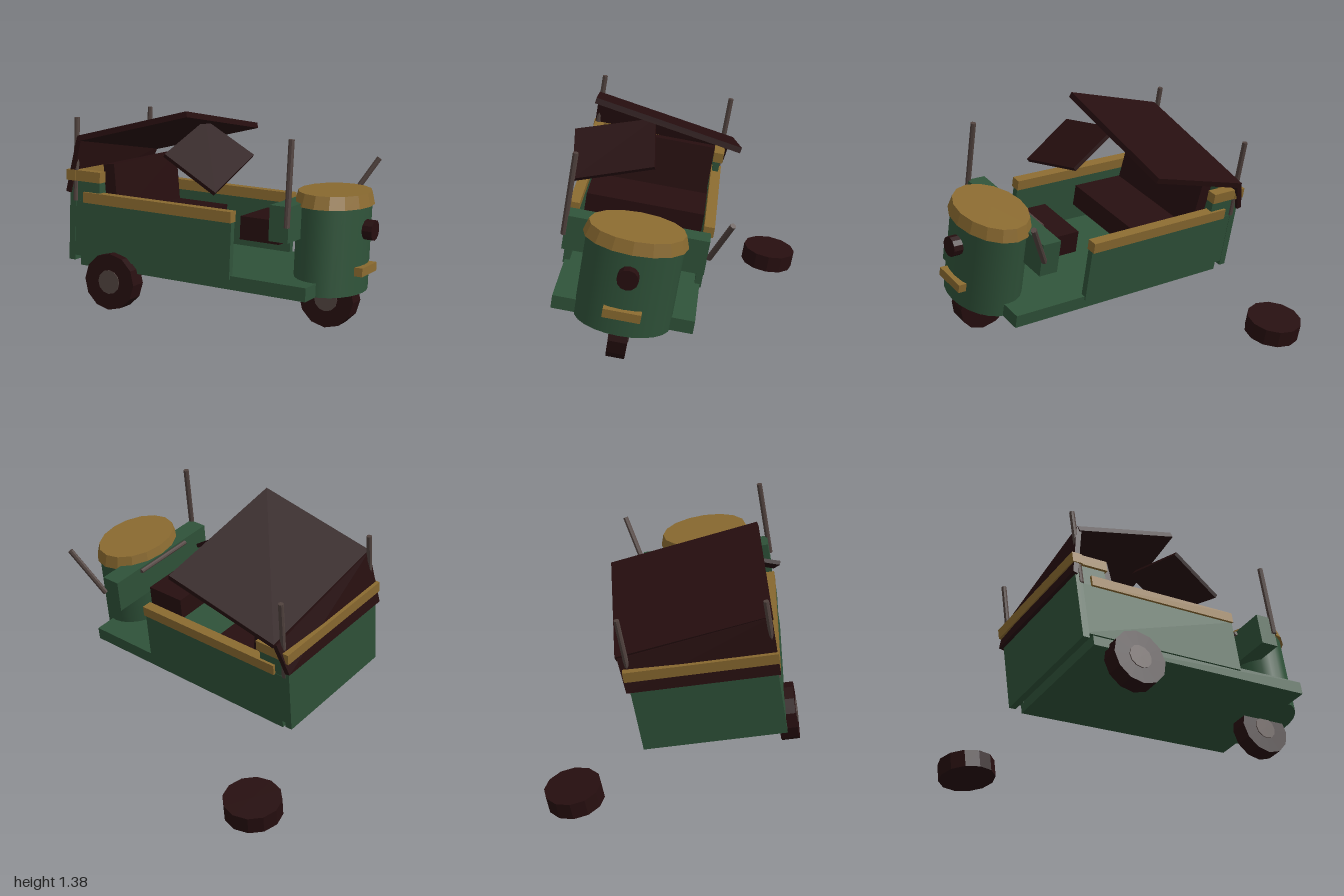
import * as THREE from 'three';

const mat = (name, color, flat = true) => {
  const m = new THREE.MeshStandardMaterial({ color, flatShading: flat });
  m.name = name;
  return m;
};

export function createModel() {
  const green = mat('green paint', 0x2f5239);
  const greenSmooth = green.clone();
  greenSmooth.flatShading = false;
  const yellow = mat('yellow trim', 0x8a6a30);
  const dark = mat('dark canvas and rubber', 0x260e0f);
  const grey = mat('worn metal', 0x50423e);

  const root = new THREE.Group();
  root.name = 'wreckedRickshaw';
  // The body lies tilted; parts inside use the body's own axes
  const body = new THREE.Group();
  body.name = 'body';
  body.position.set(-0.085, 0.413, 0.125);
  body.rotation.set(-0.05, 0.222, -0.161, 'YXZ');
  root.add(body);

  const add = (parent, name, geo, material) => {
    const m = new THREE.Mesh(geo, material);
    m.name = name;
    parent.add(m);
    return m;
  };
  // Box given by its limits on each axis
  const box = (name, [x0, x1], [y0, y1], [z0, z1], material) => {
    const m = add(body, name, new THREE.BoxGeometry(x1 - x0, y1 - y0, z1 - z0), material);
    m.position.set((x0 + x1) / 2, (y0 + y1) / 2, (z0 + z1) / 2);
    return m;
  };
  // Thin plate hung below four corners: back left, back right, front right, front left
  const plate = (parent, name, corners, thick, material) => {
    const [a, b, c, d] = corners.map((p) => new THREE.Vector3(...p));
    const n = d.clone().sub(a).cross(b.clone().sub(a)).normalize();
    const geo = new THREE.BoxGeometry(1, 1, 1);
    const pos = geo.attributes.position;
    for (let i = 0; i < pos.count; i++) {
      const u = pos.getX(i) + 0.5, v = pos.getZ(i) + 0.5;
      const p = a.clone().lerp(b, u).lerp(d.clone().lerp(c, u), v);
      p.addScaledVector(n, (pos.getY(i) - 0.5) * thick);
      pos.setXYZ(i, p.x, p.y, p.z);
    }
    geo.computeVertexNormals();
    return add(parent, name, geo, material);
  };
  // Rod between two points
  const rod = (parent, name, from, to, r) => {
    const a = new THREE.Vector3(...from), b = new THREE.Vector3(...to);
    const m = add(parent, name, new THREE.CylinderGeometry(r, r, a.distanceTo(b), 8), grey);
    m.position.copy(a).lerp(b, 0.5);
    m.quaternion.setFromUnitVectors(new THREE.Vector3(0, 1, 0), b.sub(a).normalize());
    return m;
  };
  // Wheel with its axle along y, with or without hubs
  const wheel = (name, x, y, z, hubs) => {
    const g = new THREE.Group();
    g.name = name;
    add(g, 'tyre', new THREE.CylinderGeometry(0.16, 0.16, 0.1, 12), dark);
    if (hubs) add(g, 'hub', new THREE.CylinderGeometry(0.068, 0.068, 0.11, 12), grey);
    g.position.set(x, y, z);
    body.add(g);
    return g;
  };

  // Floor
  box('floor', [-0.38, 0.38], [0, 0.075], [-0.705, 0.705], green);

  // Rear tub: sides, taller back corners, trims
  for (const s of [-1, 1]) {
    const span = (a, b) => (s > 0 ? [a, b] : [-b, -a]);
    box('sidePanel', span(0.352, 0.39), [0.055, 0.37], [-0.76, 0.26], green);
    box('sideTrim', span(0.345, 0.403), [0.365, 0.425], [-0.68, 0.262], yellow);
    box('backCorner', span(0.35, 0.388), [0.06, 0.485], [-0.75, -0.58], green);
    box('backCornerTrim', span(0.345, 0.403), [0.485, 0.545], [-0.75, -0.57], yellow);
    rod(body, 'rearPost', [s * 0.385, 0.37, -0.74], [s * 0.385, 0.84, -0.74], 0.015);
  }
  box('backPanel', [-0.392, 0.392], [0.027, 0.485], [-0.775, -0.735], green);
  box('backTrim', [-0.41, 0.41], [0.485, 0.545], [-0.79, -0.73], yellow);

  // Seats
  box('benchSeat', [-0.345, 0.345], [0.18, 0.31], [-0.56, -0.16], dark);
  const rest = box('benchBackrest', [-0.34, 0.34], [0.28, 0.59], [-0.57, -0.5], dark);
  rest.rotation.x = -0.12;
  box('driverSeat', [-0.16, 0.17], [0.23, 0.36], [0.195, 0.435], dark);

  // Rounded nose with its cap, lamp and strip
  const nose = add(body, 'nose', new THREE.CylinderGeometry(1, 1, 0.48, 24), greenSmooth);
  nose.scale.set(0.258, 1, 0.19);
  nose.position.set(0, 0.24, 0.68);
  const cap = add(body, 'noseCap', new THREE.CylinderGeometry(0.92, 1, 0.07, 16), yellow);
  cap.scale.set(0.277, 1, 0.204);
  cap.position.set(0, 0.505, 0.68);
  const lamp = add(body, 'headlamp', new THREE.CylinderGeometry(0.056, 0.056, 0.07, 12), dark);
  lamp.rotation.x = Math.PI / 2;
  lamp.position.set(0, 0.347, 0.885);
  box('frontStrip', [-0.1, 0.1], [0.107, 0.155], [0.845, 0.9], yellow);

  // Dashboard, handlebar and bent windscreen posts
  box('dashboard', [-0.38, 0.38], [0.295, 0.487], [0.478, 0.59], green);
  rod(body, 'handlebar', [-0.19, 0.47, 0.468], [0.19, 0.47, 0.468], 0.013);
  rod(root, 'rightFrontPost', [-0.27, 0.875, 0.74], [-0.2, 1.33, 0.705], 0.016);
  rod(root, 'leftFrontPost', [0.475, 0.765, 0.575], [0.627, 1.03, 0.688], 0.016);

  // Collapsed roof, rear canvas and loose panel
  plate(root, 'roof', [[-0.525, 1.17, -0.56], [0.27, 0.905, -0.725],
    [0.477, 1.12, -0.087], [-0.313, 1.385, 0.075]], 0.032, dark);
  plate(body, 'rearCanvas', [[-0.405, 0.42, -0.795], [0.41, 0.42, -0.795],
    [0.43, 0.6, -0.735], [-0.4, 0.735, -0.73]], 0.03, dark);
  plate(root, 'loosePanel', [[-0.455, 1.175, 0.05], [-0.015, 1.25, -0.055],
    [0.07, 1.085, 0.23], [-0.37, 1.0, 0.335]], 0.022, dark);

  // Two fitted wheels and one lying on the ground
  wheel('frontWheel', 0, -0.055, 0.678, true).rotation.z = Math.PI / 2;
  wheel('rearWheel', -0.392, -0.055, -0.469, true).rotation.z = Math.PI / 2;
  wheel('detachedWheel', 0.812, -0.167, -0.835, false);

  return root;
}
